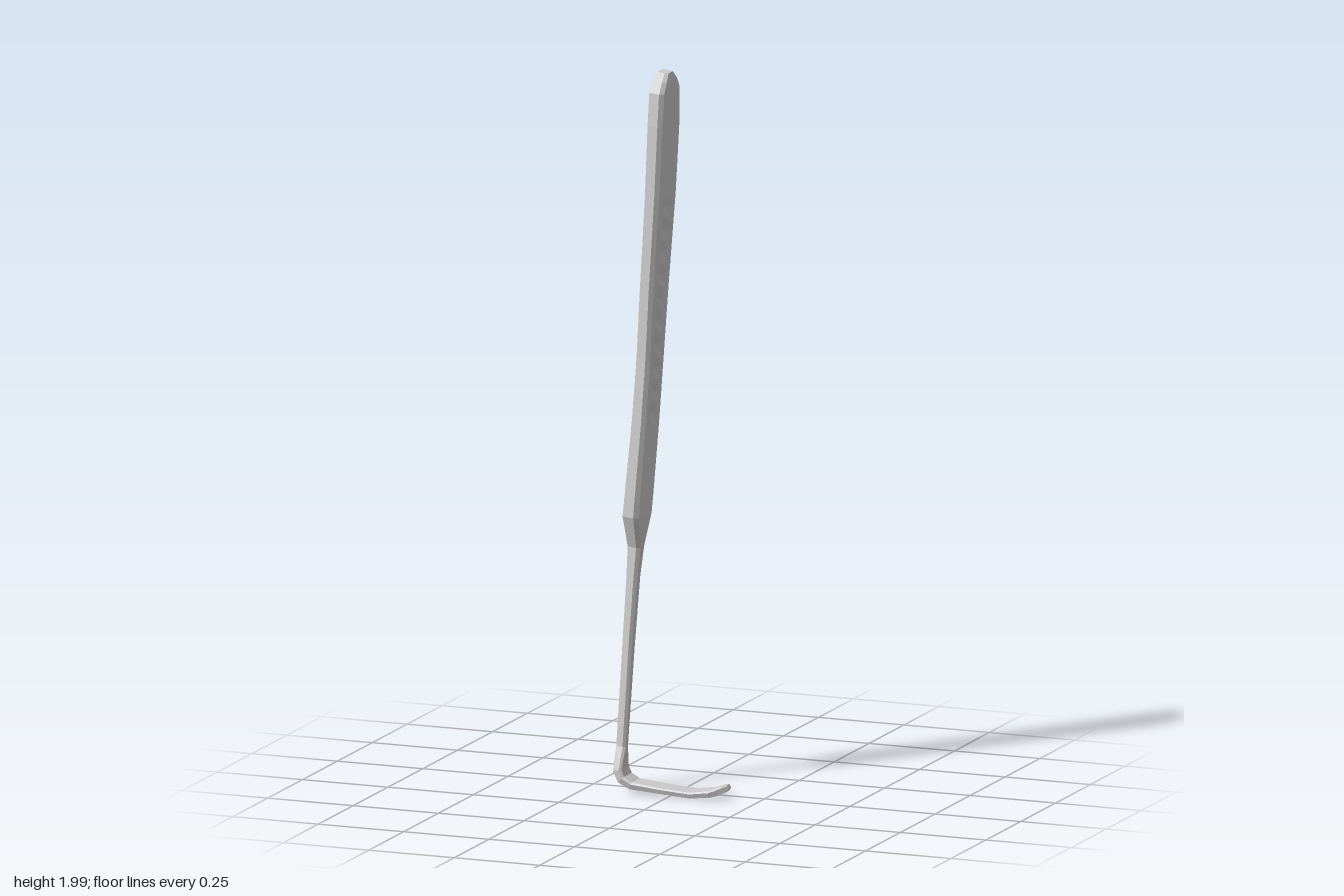
import * as THREE from 'three';

// Stations along the spine, from blade tip to handle top:
// [x, y, zMin, zMax, half thickness]
const blade = [
  [0.16, 0.042, 0.022, 0.042, 0.006],
  [0.148, 0.035, 0.012, 0.057, 0.01],
  [0.132, 0.028, 0.001, 0.068, 0.01],
  [0.115, 0.023, 0.003, 0.075, 0.009],
  [0.06, 0.016, 0.006, 0.077, 0.008],
  [-0.02, 0.022, 0.01, 0.081, 0.008],
  [-0.11, 0.03, 0.014, 0.084, 0.01],
  [-0.138, 0.045, 0.015, 0.085, 0.012],
  [-0.15, 0.07, 0.017, 0.083, 0.013],
];
const shank = [
  [-0.15, 0.13, 0.026, 0.055, 0.014],
  [-0.139, 0.4, 0.005, 0.04, 0.014],
  [-0.128, 0.6, -0.005, 0.032, 0.016],
];
const neck = [
  [-0.123, 0.68, -0.014, 0.03, 0.019],
  [-0.119, 0.77, -0.049, 0.067, 0.024],
  [-0.115, 0.82, -0.053, 0.066, 0.023],
];
const grip = [
  [-0.1, 1.0, -0.058, 0.06, 0.021],
  [-0.087, 1.2, -0.064, 0.054, 0.02],
  [-0.076, 1.4, -0.073, 0.056, 0.02],
  [-0.058, 1.68, -0.082, 0.059, 0.021],
];
const top = [
  [-0.05, 1.86, -0.084, 0.06, 0.022],
  [-0.047, 1.95, -0.077, 0.055, 0.022],
  [-0.046, 1.98, -0.056, 0.036, 0.021],
  [-0.045, 2.0, -0.034, 0.012, 0.016],
];

// Interpolate a station of the grip at height y
function gripAt(y) {
  let i = 0;
  while (i < grip.length - 2 && grip[i + 1][1] < y) i++;
  const a = grip[i], b = grip[i + 1], t = (y - a[1]) / (b[1] - a[1]);
  return a.map((v, k) => v + (b[k] - v) * t);
}

// Chamfered cross-section; dent sinks the middle of both broad faces
function ring(s, tangent, dent = 0) {
  const [x, y, z0, z1, h] = s;
  const zc = (z0 + z1) / 2, w = (z1 - z0) / 2;
  const c = Math.min(h, w) * 0.5, g = Math.min(0.03, (w - c) * 0.6);
  const half = [[h, c - w], [h, -g], [h - dent, 0], [h, g], [h, w - c], [h - c, w]];
  const pts = [...half, ...half.map(([u, v]) => [-u, -v])];
  return pts.map(([u, v]) => [x + tangent.y * u, y - tangent.x * u, zc + v]);
}

// Loft a closed skin through the rings and cap both ends
function loft(name, rings, material) {
  const pos = [], n = rings[0].length;
  const tri = (...p) => p.forEach(q => pos.push(...q));
  for (let j = 0; j < rings.length - 1; j++) {
    for (let i = 0; i < n; i++) {
      const k = (i + 1) % n, a = rings[j], b = rings[j + 1];
      tri(a[i], b[k], a[k]);
      tri(a[i], b[i], b[k]);
    }
  }
  const first = rings[0], last = rings[rings.length - 1];
  for (let i = 1; i < n - 1; i++) {
    tri(first[0], first[i], first[i + 1]);
    tri(last[0], last[i + 1], last[i]);
  }
  const geo = new THREE.BufferGeometry();
  geo.setAttribute('position', new THREE.Float32BufferAttribute(pos, 3));
  geo.computeVertexNormals();
  const mesh = new THREE.Mesh(geo, material);
  mesh.name = name;
  return mesh;
}

export function createModel() {
  const group = new THREE.Group();
  group.name = 'hookedTool';
  const material = new THREE.MeshStandardMaterial({ color: 0xcccccc, flatShading: true });

  // Rows of small alternating dents along the grip
  const rows = [];
  for (let k = 0; k <= 20; k++) rows.push(gripAt(1.02 + k * 0.032));

  const spine = [...blade, ...shank, ...neck, ...rows, ...top];
  const firstRow = blade.length + shank.length + neck.length;
  const rings = spine.map((s, i) => {
    const a = spine[Math.max(i - 1, 0)], b = spine[Math.min(i + 1, spine.length - 1)];
    // average the directions of the two neighbouring segments
    const d1 = new THREE.Vector2(s[0] - a[0], s[1] - a[1]).normalize();
    const d2 = new THREE.Vector2(b[0] - s[0], b[1] - s[1]).normalize();
    const row = i - firstRow;
    const dented = row > 0 && row < rows.length && row % 2 === 1;
    return ring(s, d1.add(d2).normalize(), dented ? 0.008 : 0);
  });

  const bladeEnd = blade.length, shankEnd = bladeEnd + shank.length;
  group.add(loft('hookBlade', rings.slice(0, bladeEnd), material));
  group.add(loft('shank', rings.slice(bladeEnd - 1, shankEnd + 1), material));
  group.add(loft('handle', rings.slice(shankEnd), material));
  return group;
}
